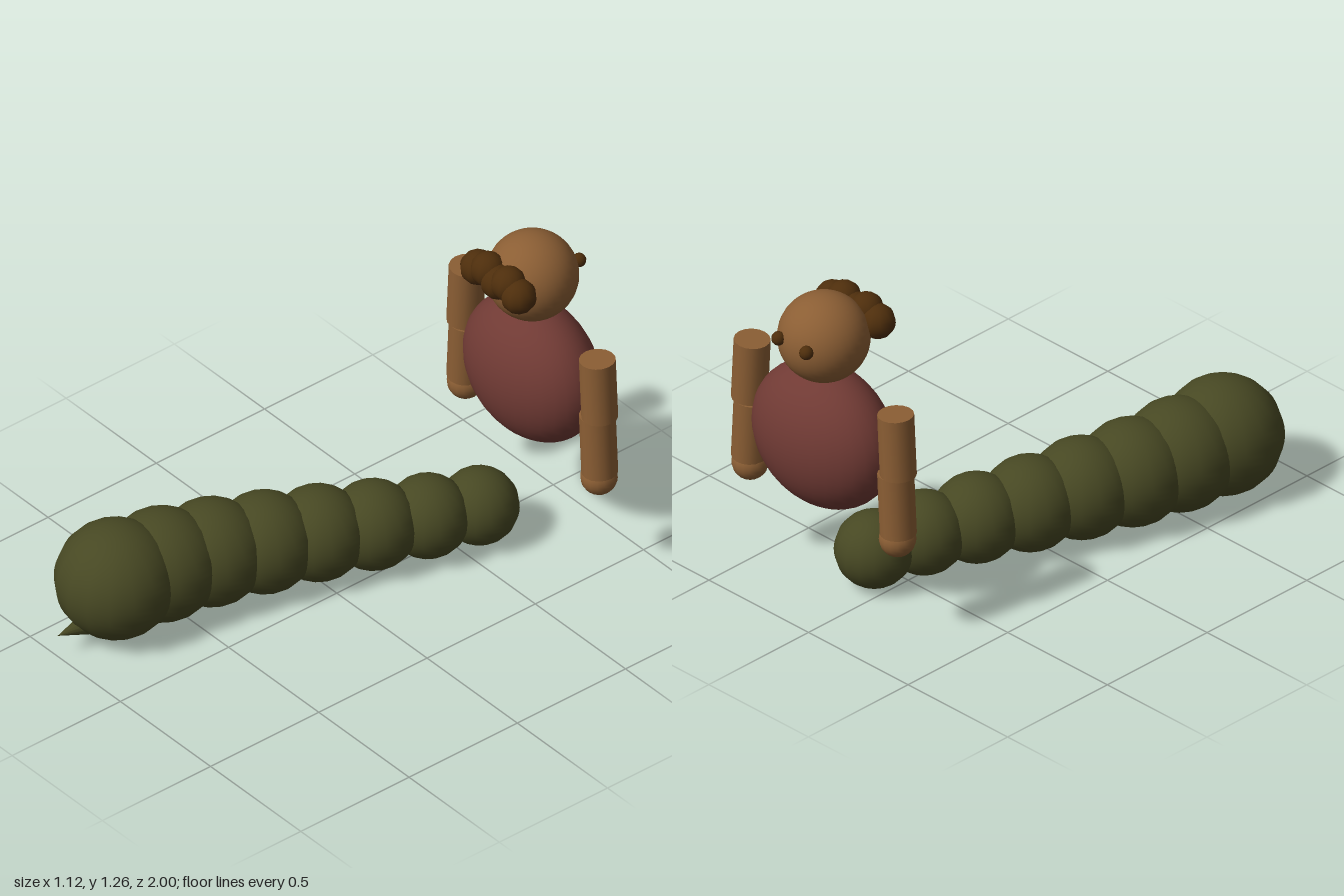
import * as THREE from 'three';

const material = (name, color) => {
  const m = new THREE.MeshStandardMaterial({ color });
  m.name = name;
  return m;
};

export function createModel() {
  const skin = material('skin brown', 0x8b5e34);
  const hair = material('dark brown', 0x4e2e0c);
  const shirt = material('dull red', 0x703a34);
  const green = material('olive green', 0x474823);

  const model = new THREE.Group();
  model.name = 'riderAndCaterpillar';

  const add = (parent, name, geometry, mat, x, y, z) => {
    const mesh = new THREE.Mesh(geometry, mat);
    mesh.name = name;
    mesh.position.set(x, y, z);
    parent.add(mesh);
    return mesh;
  };
  const ball = (r, around = 32, down = 24) => new THREE.SphereGeometry(r, around, down);

  // Segmented body: a gently curving row of shrinking balls
  const crawler = new THREE.Group();
  crawler.name = 'segmentedBody';
  model.add(crawler);
  const bend = [-0.343, -0.315, -0.27, -0.206, -0.137, -0.06, 0.013, 0.072];
  bend.forEach((x, i) => {
    const r = 0.221 - i * 0.011;
    add(crawler, 'bodySegment' + (i + 1), ball(r, 16, 24), green, x, r + 0.004, 0.735 - i * 0.1905);
  });

  // Spike at the thick end, tip slightly raised
  const spike = add(crawler, 'spike', new THREE.ConeGeometry(0.045, 0.15, 12), green, -0.348, 0.089, 0.925);
  spike.rotation.x = Math.PI / 2 - 0.07;

  // Figure, facing backwards
  const figure = new THREE.Group();
  figure.name = 'figure';
  figure.position.set(0.12, 0, -0.803);
  model.add(figure);

  add(figure, 'torso', ball(1), shirt, 0, 0.696, 0).scale.set(0.306, 0.277, 0.196);
  add(figure, 'head', ball(0.167), skin, 0, 1.101, 0);

  // Row of curls, every other one raised
  for (let i = 0; i < 5; i++) {
    add(figure, 'curl' + (i + 1), ball(0.065, 10, 16), hair, (i - 2) * 0.0565, 1.145 + (i % 2) * 0.024, 0.157);
  }

  // Eyes and arms, mirrored
  for (const side of [-1, 1]) {
    const label = side > 0 ? 'left' : 'right';
    add(figure, label + 'Eye', ball(0.026, 12, 10), hair, side * 0.07, 1.13, -0.158);
    const limb = new THREE.CylinderGeometry(0.066, 0.066, 0.245, 16);
    add(figure, label + 'UpperArm', limb, skin, side * 0.367, 0.81, 0).rotation.z = side * 0.055;
    add(figure, label + 'Forearm', limb, skin, side * 0.367, 0.566, 0).rotation.z = side * 0.055;
    add(figure, label + 'Hand', ball(0.067, 16, 16), skin, side * 0.37, 0.419, 0);
  }

  return model;
}
